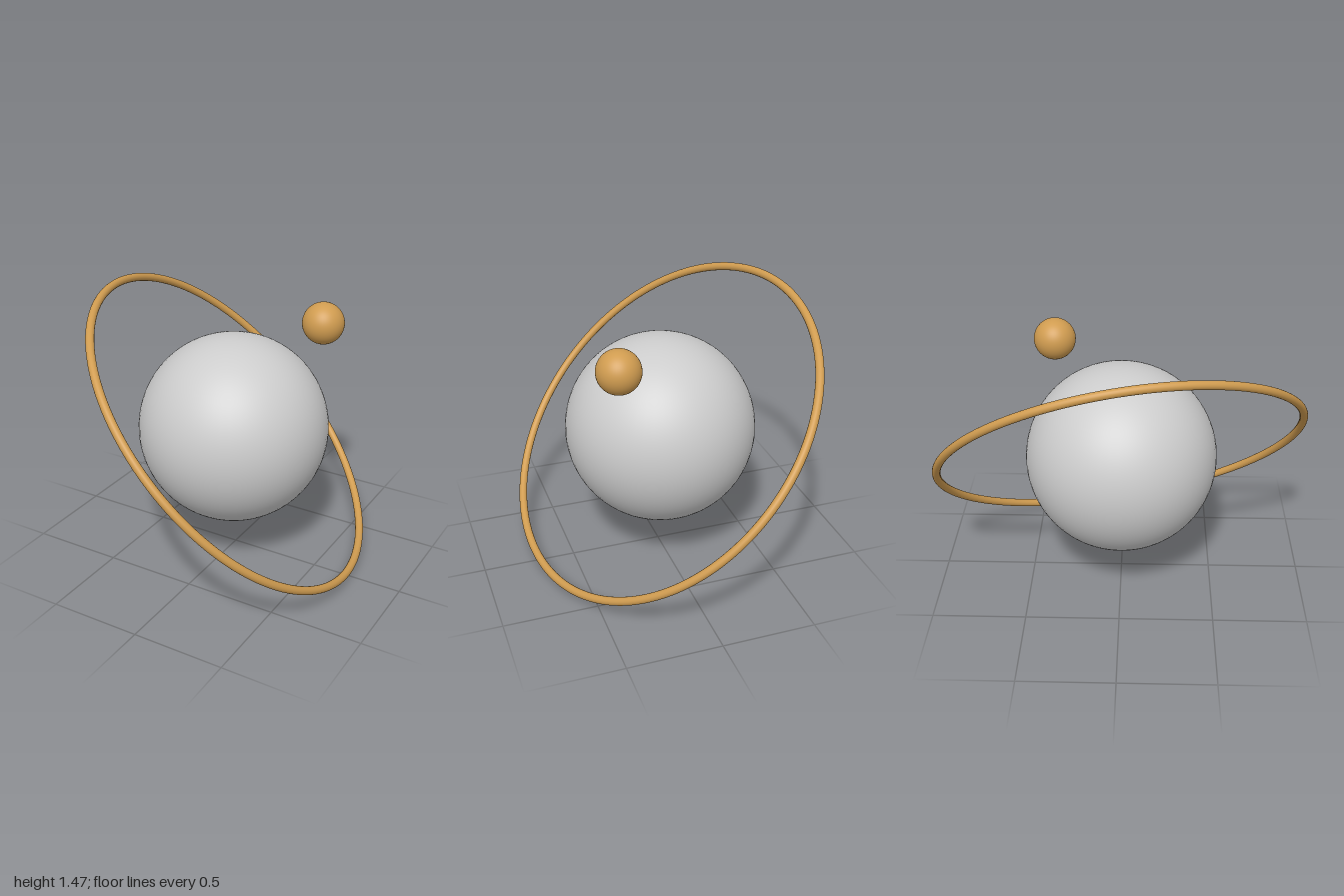
import * as THREE from 'three';

export function createModel() {
  const model = new THREE.Group();
  model.name = 'ringedPlanet';

  const grey = new THREE.MeshStandardMaterial({ name: 'planet grey', color: 0xcccccc });
  const gold = new THREE.MeshStandardMaterial({ name: 'warm gold', color: 0xd09c50 });

  function add(name, geometry, material, x, y, z) {
    const mesh = new THREE.Mesh(geometry, material);
    mesh.name = name;
    mesh.position.set(x, y, z);
    model.add(mesh);
    return mesh;
  }

  // Large central globe
  add('planet', new THREE.SphereGeometry(0.514, 64, 48), grey, -0.013, 0.729, 0);

  // Small globe above the planet's back left shoulder
  add('moon', new THREE.SphereGeometry(0.114, 48, 32), gold, 0.324, 1.265, -0.372);

  // Thin circular orbit, tilted so its axis points up and to the left
  const ring = add('orbitRing', new THREE.TorusGeometry(0.994, 0.022, 20, 160), gold, 0, 0.738, 0);
  const axis = new THREE.Vector3(0.697, 0.695, -0.177).normalize();
  ring.quaternion.setFromUnitVectors(new THREE.Vector3(0, 0, 1), axis);

  return model;
}
